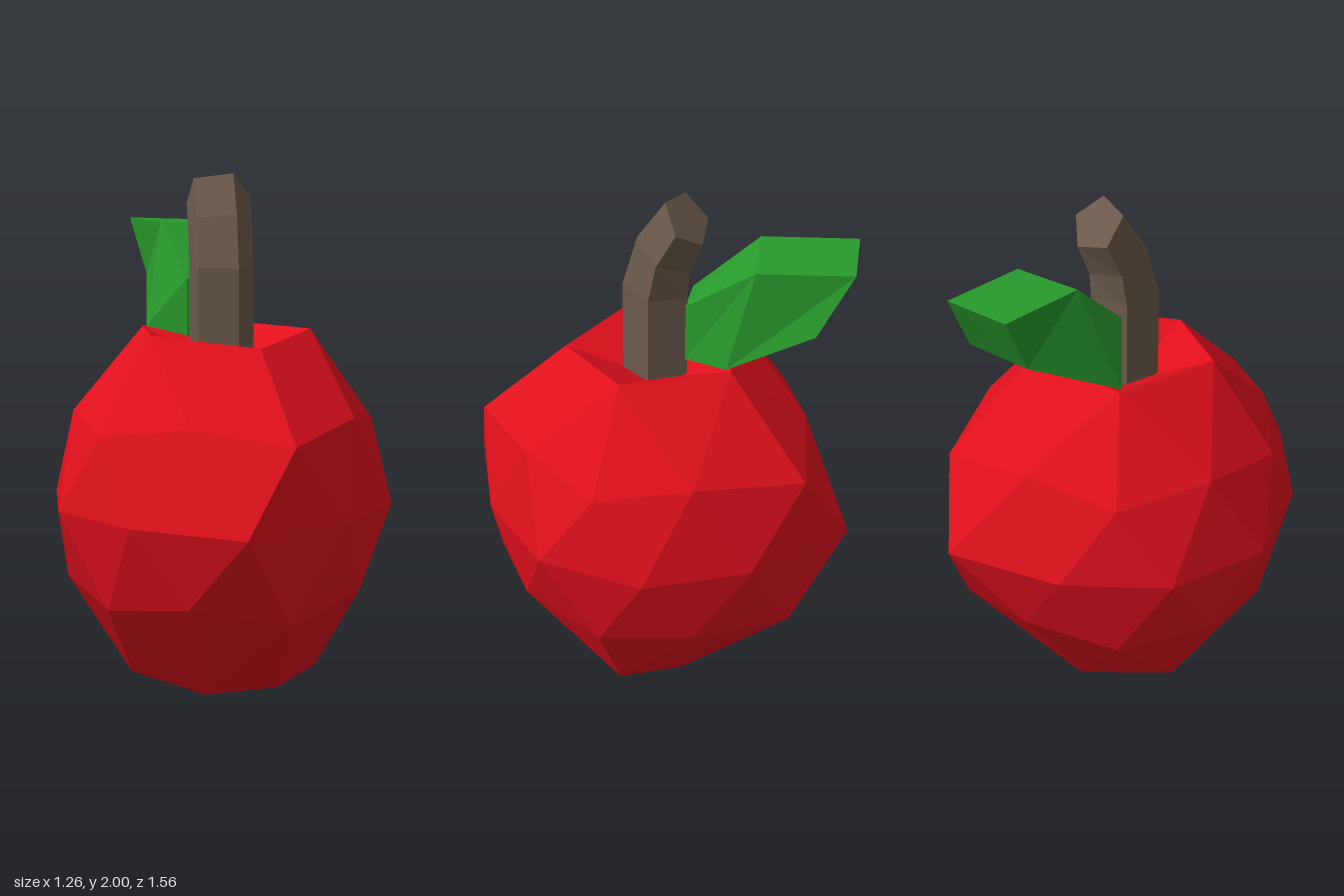
import * as THREE from 'three';

const material = (color) => new THREE.MeshStandardMaterial({ color, flatShading: true });
const V = (x, y, z) => new THREE.Vector3(x, y, z);

// A ring is a list of { t, p }: t is the position around the loop (0..1), p the corner.
const loop = (points) => points.map((p, i) => ({ t: i / points.length, p }));

// Polar ring from [degrees, radius, height, z stretch].
const polar = (rows) => rows.map(([deg, r, y, stretch = 1]) => {
  const a = THREE.MathUtils.degToRad(deg);
  return { t: deg / 360, p: V(r * Math.cos(a), y, r * Math.sin(a) * stretch) };
});

// Joins two neighbouring rings with triangles, whatever their corner counts.
function stitch(lower, upper, out) {
  const steps = (ring) => (ring.length > 1 ? ring.length : 0);
  const nextT = (ring, i) => (i >= steps(ring) ? Infinity : i + 1 < ring.length ? ring[i + 1].t : 1 + ring[0].t);
  const at = (ring, i) => ring[i % ring.length].p;
  const lowerFirst = lower.length < upper.length;
  let i = 0, j = 0;
  while (i < steps(lower) || j < steps(upper)) {
    const d = nextT(lower, i) - nextT(upper, j);
    const moveLower = Math.abs(d) < 1e-6 ? lowerFirst : d < 0;
    const next = moveLower ? at(lower, i + 1) : at(upper, j + 1);
    out.push(at(lower, i), at(upper, j), next);
    if (moveLower) i++; else j++;
  }
}

function ringMesh(name, rings, color) {
  const corners = [];
  for (let k = 0; k + 1 < rings.length; k++) stitch(rings[k], rings[k + 1], corners);
  const geometry = new THREE.BufferGeometry().setFromPoints(corners);
  geometry.computeVertexNormals();
  const mesh = new THREE.Mesh(geometry, material(color));
  mesh.name = name;
  return mesh;
}

// Closes both ends of a row of loops with a fan around the middle.
function capped(sections) {
  const middle = (s) => [{ t: 0, p: s.reduce((m, p) => m.add(p), V(0, 0, 0)).divideScalar(s.length) }];
  return [middle(sections[0]), ...sections.map(loop), middle(sections[sections.length - 1])];
}

// Faceted fruit with a dent at each pole and a ridge pulled out at front and back.
function createFruit() {
  const count = (n, fn) => polar(Array.from({ length: n }, (_, k) => fn(k)));
  const ridge = (k, s) => (k === 2 || k === 8 ? s : 1);
  const base = polar([
    [0, 0.38, 0.065], [57, 0.33, 0.07], [108, 0.3, 0.055],
    [180, 0.35, 0.065], [252, 0.275, 0.0], [315, 0.26, 0.02],
  ]);
  const low = count(10, (k) => (k % 2 ? [36 * k, 0.594, 0.463] : [36 * k, 0.565, 0.41, ridge(k, 1.155)]));
  const waist = count(10, (k) => [18 + 36 * k, 0.664, 0.76, k === 2 || k === 7 ? 1.175 : 1]);
  const high = count(10, (k) => (k % 2 ? [36 * k, 0.565, 1.11] : [36 * k, 0.594, 1.06, ridge(k, 1.168)]));
  const rim = count(5, (k) => [72 * k, 0.349, k === 1 ? 1.37 : 1.41]);
  const pole = (y) => [{ t: 0, p: V(0, y, 0) }];
  return ringMesh('fruit', [pole(0.17), base, low, waist, high, rim, pole(1.25)], 0xe0101c);
}

// Five-sided stem that bends backwards: [height, z, tilt, scale].
function createStem() {
  const sections = [[1.22, 0, 0, 1], [1.64, 0, 0.08, 1], [1.79, -0.034, 0.56, 0.92], [1.926, -0.113, 0.86, 0.82]]
    .map(([y, z, tilt, s]) => Array.from({ length: 5 }, (_, k) => {
      const a = THREE.MathUtils.degToRad(72 * k - 7);
      const depth = 0.13 * s * Math.sin(a);
      return V(0.13 * Math.cos(a), y + depth * Math.sin(tilt), z + depth * Math.cos(tilt));
    }));
  return ringMesh('stem', capped(sections), 0x6b5a4c);
}

// Thick four-sided leaf, from its root behind the stem to its blunt tip.
function createLeaf() {
  const sections = [
    [V(0.04, 1.6, -0.125), V(-0.12, 1.6, -0.09), V(-0.12, 1.38, -0.09), V(0.04, 1.38, -0.125)],
    [V(0.07, 1.8, -0.4), V(-0.2, 1.81, -0.32), V(-0.27, 1.41, -0.19), V(0.1, 1.41, -0.31)],
    [V(-0.03, 1.81, -0.73), V(-0.3, 1.82, -0.66), V(-0.24, 1.59, -0.55), V(0.04, 1.58, -0.62)],
  ];
  return ringMesh('leaf', capped(sections), 0x289a2c);
}

export function createModel() {
  const model = new THREE.Group();
  model.name = 'apple';
  model.add(createFruit(), createStem(), createLeaf());
  return model;
}
